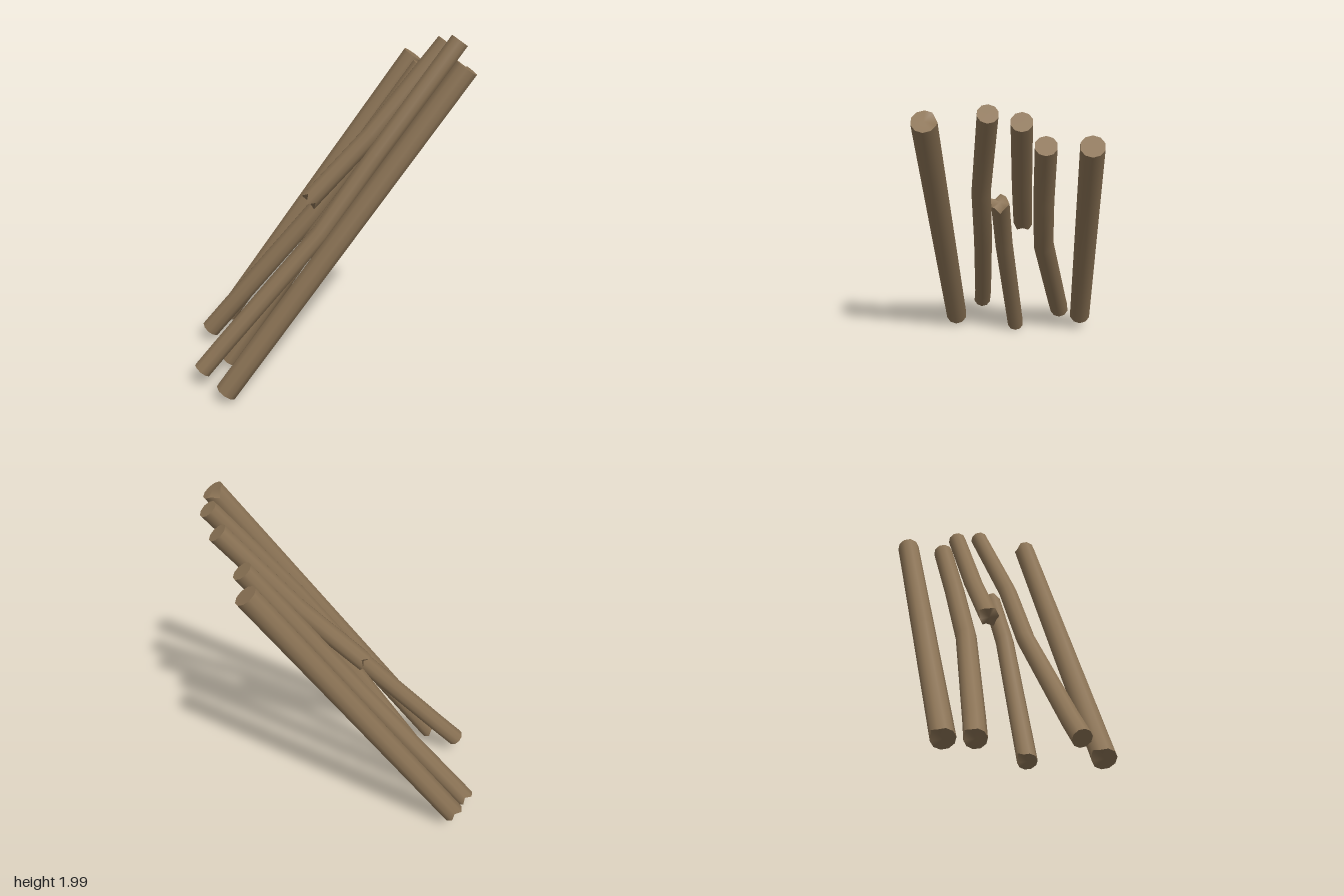
import * as THREE from 'three';

const SIDES = 10;
const bark = new THREE.MeshStandardMaterial({ color: 0x8b7355 });
bark.name = 'brown wood';

// Log swept along a few centre points; the jag lists push each end's rim along the axis
function logGeometry(path, radius, startJag = [], endJag = []) {
  const pts = path.map(p => new THREE.Vector3(...p));
  const last = pts.length - 1;
  const pos = [], idx = [];
  const dir = k => pts[k + 1].clone().sub(pts[k]).normalize();
  pts.forEach((p, k) => {
    const t = k === 0 ? dir(0) : k === last ? dir(last - 1) : dir(k - 1).add(dir(k)).normalize();
    const v = new THREE.Vector3(0, 0, 1);
    v.addScaledVector(t, -v.dot(t)).normalize();
    const u = v.clone().cross(t);
    for (let i = 0; i < SIDES; i++) {
      const a = (i / SIDES) * Math.PI * 2;
      const shift = k === 0 ? startJag[i] || 0 : k === last ? -(endJag[i] || 0) : 0;
      const q = p.clone().addScaledVector(u, radius * Math.cos(a))
        .addScaledVector(v, radius * Math.sin(a)).addScaledVector(t, shift);
      pos.push(q.x, q.y, q.z);
    }
  });
  for (let k = 0; k < last; k++) {
    for (let i = 0; i < SIDES; i++) {
      const j = (i + 1) % SIDES;
      const a = k * SIDES + i, b = k * SIDES + j;
      idx.push(a, b, b + SIDES, a, b + SIDES, a + SIDES);
    }
  }
  // End caps with their own vertices, so the rims stay crisp
  for (const end of [0, last]) {
    const base = pos.length / 3;
    pos.push(...pts[end].toArray());
    for (let i = 0; i < SIDES; i++) {
      const s = (end * SIDES + i) * 3;
      pos.push(pos[s], pos[s + 1], pos[s + 2]);
    }
    for (let i = 0; i < SIDES; i++) {
      const a = base + 1 + i, b = base + 1 + (i + 1) % SIDES;
      if (end) idx.push(base, a, b);
      else idx.push(base, b, a);
    }
  }
  const g = new THREE.BufferGeometry();
  g.setAttribute('position', new THREE.Float32BufferAttribute(pos, 3));
  g.setIndex(idx);
  g.computeVertexNormals();
  return g;
}

export function createModel() {
  const group = new THREE.Group();
  group.name = 'leaningLogs';
  const nick = [0, 0, 0, 0, 0, 0, 0, 0, 0.035, 0];
  const broken = [0.0, 0.04, -0.01, 0.03, -0.01, 0.04, -0.01, 0.0, 0.05, 0.01];

  const logs = [
    // Straight outer logs
    ['frontLog', 0.064, [[-0.587, 0.077, 0.4], [0.05, 1.0, 0.4], [0.68, 1.913, 0.4]], nick, nick],
    ['backLog', 0.064, [[-0.557, 0.117, -0.4], [0.0, 0.93, -0.4], [0.567, 1.753, -0.4]], nick],
    // Bent long logs
    ['bentFrontLog', 0.053, [[-0.717, 0.125, 0.24], [-0.6, 0.262, 0.225], [-0.03, 0.93, 0.18],
      [0.27, 1.37, 0.165], [0.712, 1.968, 0.097]]],
    ['bentBackLog', 0.058, [[-0.66, 0.095, -0.268], [-0.56, 0.225, -0.25], [-0.03, 0.9, -0.165],
      [0.27, 1.33, -0.165], [0.57, 1.753, -0.175]], nick],
    // Two halves of a snapped log
    ['upperBrokenLog', 0.055, [[-0.075, 1.02, -0.045], [0.28, 1.41, -0.05], [0.676, 1.916, -0.06]], broken],
    ['lowerBrokenLog', 0.05, [[-0.558, 0.04, 0.015], [-0.02, 0.9, 0.06], [0.28, 1.31, 0.065]], nick, broken],
  ];
  for (const [name, radius, path, startJag, endJag] of logs) {
    const mesh = new THREE.Mesh(logGeometry(path, radius, startJag, endJag), bark);
    mesh.name = name;
    group.add(mesh);
  }
  return group;
}
